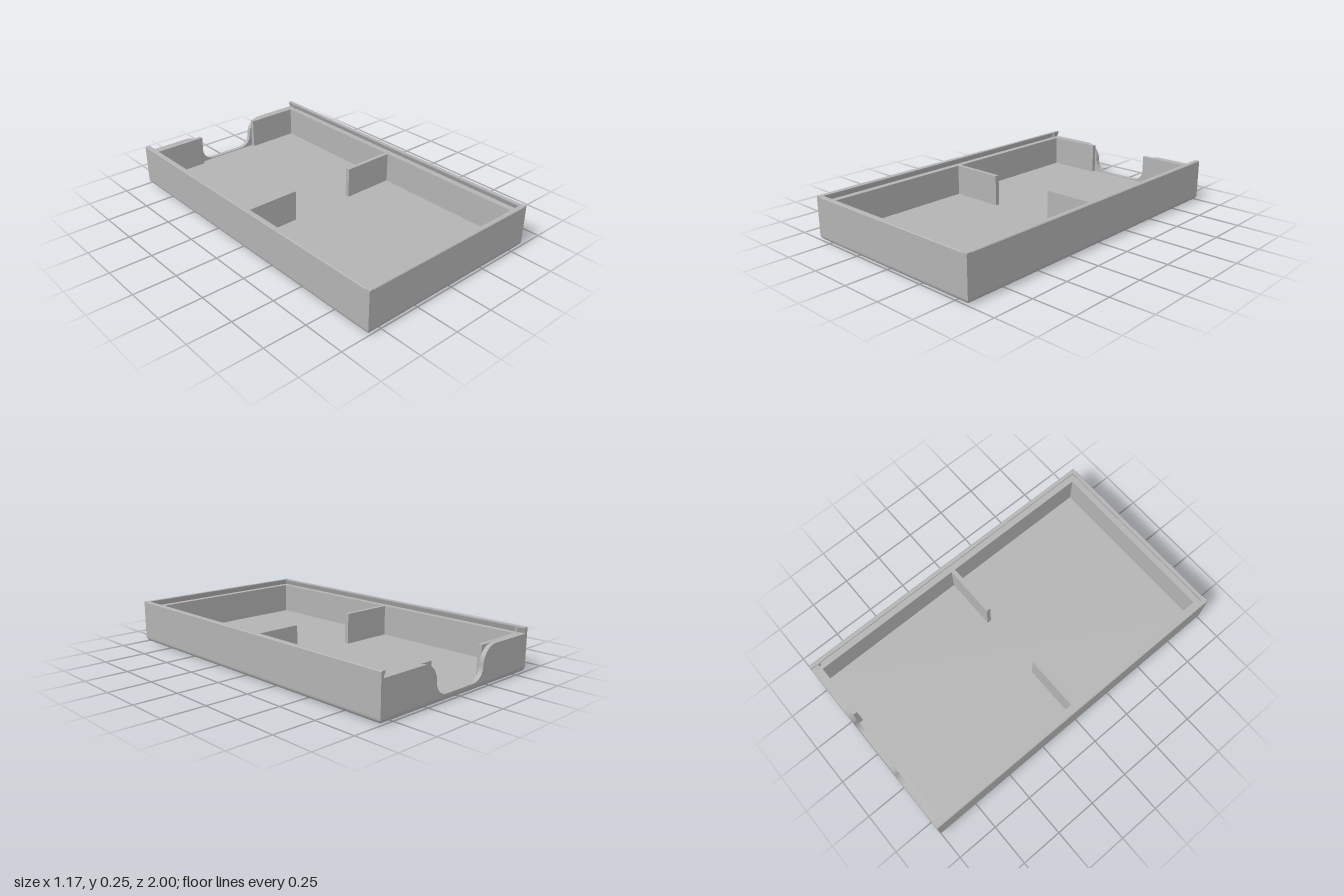
import * as THREE from 'three';
import { toCreasedNormals } from 'three/addons/utils/BufferGeometryUtils.js';

const W = 0.585, L = 1;                    // half width, half length
const FLOOR = 0.035, LEDGE = 0.22, TOP = 0.255;
const WALL = 0.052, RAIL = 0.026, R = 0.03;

export function createModel() {
  const grey = new THREE.MeshStandardMaterial({ color: 0xb3b3b3 });
  grey.name = 'light grey plastic';
  const group = new THREE.Group();
  group.name = 'slidingLidTray';

  const add = (name, geometry) => {
    const mesh = new THREE.Mesh(geometry, grey);
    mesh.name = name;
    group.add(mesh);
    return mesh;
  };
  // box given by its minimum and maximum corners
  const block = (name, x0, x1, y0, y1, z0, z1) =>
    add(name, new THREE.BoxGeometry(x1 - x0, y1 - y0, z1 - z0))
      .position.set((x0 + x1) / 2, (y0 + y1) / 2, (z0 + z1) / 2);
  const polygon = (points) => new THREE.Shape(points.map(([x, y]) => new THREE.Vector2(x, y)));
  const extrude = (shape, depth) =>
    new THREE.ExtrudeGeometry(shape, { depth, bevelEnabled: false, curveSegments: 16 });

  // base rim: rectangular rings following a rounded lower edge
  const rings = [];
  for (let i = 0; i <= 8; i++) {
    const a = (i / 8) * Math.PI / 2;
    rings.push([R * (1 - Math.sin(a)), R * (1 - Math.cos(a))]);
  }
  rings.push([0, FLOOR]);
  const pos = [], index = [];
  for (const [inset, y] of rings) {
    const x = W - inset, z = L - inset;
    pos.push(-x, y, z, x, y, z, x, y, -z, -x, y, -z);
  }
  for (let r = 0; r < rings.length - 1; r++) {
    for (let k = 0; k < 4; k++) {
      const a = r * 4 + k, b = r * 4 + (k + 1) % 4;
      index.push(a, b, b + 4, a, b + 4, a + 4);
    }
  }
  const t = (rings.length - 1) * 4;
  index.push(t, t + 1, t + 2, t, t + 2, t + 3);
  const base = new THREE.BufferGeometry();
  base.setAttribute('position', new THREE.Float32BufferAttribute(pos, 3));
  base.setIndex(index);
  add('roundedBase', toCreasedNormals(base, 0.6));

  // underside with a two by two cluster of shallow pockets near each corner
  const bx = W - R, bz = L - R;
  const under = polygon([[-bx, -bz], [bx, -bz], [bx, bz], [-bx, bz]]);
  for (const sx of [-1, 1]) for (const sz of [-1, 1]) {
    const cx = sx * 0.505, cz = sz * 0.92;
    for (const dx of [-0.02, 0.02]) for (const dz of [-0.02, 0.02]) {
      const x = cx + dx, y = -cz + dz, h = 0.015;
      under.holes.push(new THREE.Path([
        new THREE.Vector2(x - h, y - h), new THREE.Vector2(x - h, y + h),
        new THREE.Vector2(x + h, y + h), new THREE.Vector2(x + h, y - h)]));
    }
    block('pocketFloor', cx - 0.04, cx + 0.04, 0.008, 0.02, cz - 0.04, cz + 0.04);
  }
  add('underside', extrude(under, 0.01).rotateX(-Math.PI / 2));

  // side and front walls up to the lid ledge
  const ix = W - WALL, iz = L - WALL;
  const plan = polygon([[-W, L], [-W, -L], [W, -L], [W, L],
    [ix, L], [ix, -iz], [-ix, -iz], [-ix, L]]);
  add('sideAndFrontWalls', extrude(plan, LEDGE - FLOOR).rotateX(-Math.PI / 2)).position.y = FLOOR;

  // back wall skin with a flared thumb cutout
  const cut = new THREE.Shape();
  cut.moveTo(-ix, FLOOR);
  cut.lineTo(ix, FLOOR);
  cut.lineTo(ix, LEDGE);
  cut.lineTo(0.29, LEDGE);
  cut.absarc(0.29, LEDGE - 0.1, 0.1, Math.PI / 2, Math.PI, false);
  cut.absarc(0.11, 0.12, 0.08, 0, -Math.PI / 2, true);
  cut.lineTo(-0.11, 0.04);
  cut.absarc(-0.11, 0.12, 0.08, -Math.PI / 2, -Math.PI, true);
  cut.absarc(-0.29, LEDGE - 0.1, 0.1, 0, Math.PI / 2, false);
  cut.lineTo(-ix, LEDGE);
  cut.closePath();
  add('backWall', toCreasedNormals(extrude(cut, 0.026), 0.5)).position.z = -L;

  // undercut rails that hold a sliding lid
  const rail = polygon([[0, LEDGE], [0, TOP - 0.004], [-0.004, TOP],
    [-RAIL, TOP], [-RAIL, TOP - 0.006], [-0.014, LEDGE]]);
  add('leftRail', extrude(rail, 2 * L)).position.set(W, 0, -L);
  const right = add('rightRail', extrude(rail, 2 * L));
  right.rotation.y = Math.PI;
  right.position.set(-W, 0, L);
  const front = add('frontRail', extrude(rail, 2 * W));
  front.rotation.y = -Math.PI / 2;
  front.position.set(W, 0, L);

  // mirrored inner back walls, dividers and lid catches
  for (const s of [-1, 1]) {
    const x0 = s < 0 ? -ix : 0.205, x1 = s < 0 ? -0.205 : ix;
    block('innerBackWall', x0, x1, FLOOR, LEDGE, -L + 0.026, -iz);
    block('divider', x0, x1, FLOOR, LEDGE, -0.013, 0.013);
    add('lidCatch', new THREE.CylinderGeometry(0.009, 0.009, TOP - LEDGE, 12))
      .position.set(s * 0.564, (TOP + LEDGE) / 2, -0.947);
  }
  return group;
}
